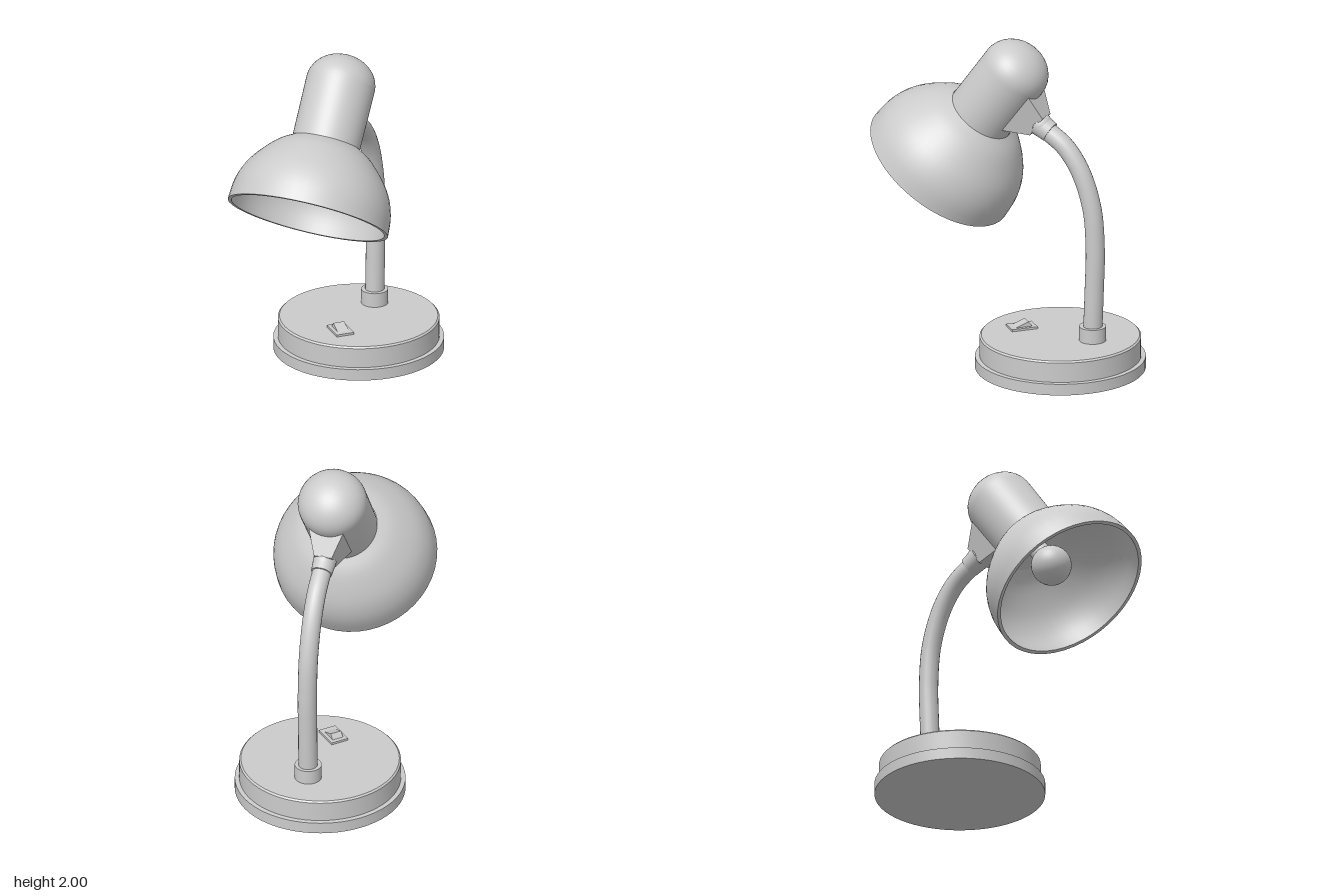
import * as THREE from 'three';
import { toCreasedNormals } from 'three/addons/utils/BufferGeometryUtils.js';

const material = new THREE.MeshStandardMaterial({ color: 0xcccccc });
const v2 = (x, y) => new THREE.Vector2(x, y);

function part(name, geometry, parent, x = 0, y = 0, z = 0) {
  const mesh = new THREE.Mesh(geometry, material);
  mesh.name = name;
  mesh.position.set(x, y, z);
  parent.add(mesh);
  return mesh;
}

// Revolved profile with crisp edges
function turned(points, segments) {
  return toCreasedNormals(new THREE.LatheGeometry(points, segments), 0.5);
}

export function createModel() {
  const lamp = new THREE.Group();
  lamp.name = 'deskLamp';

  // Stepped round base
  part('base', turned([
    v2(0, 0), v2(0.505, 0), v2(0.505, 0.07), v2(0.478, 0.072),
    v2(0.478, 0.193), v2(0.468, 0.203), v2(0, 0.203),
  ], 64), lamp, 0, 0, -0.335);

  // Rocker switch, set diagonally on the base
  const lampSwitch = new THREE.Group();
  lampSwitch.name = 'switch';
  lampSwitch.position.set(-0.007, 0.2, -0.08);
  lampSwitch.rotation.y = Math.PI / 4;
  lamp.add(lampSwitch);
  part('switchPlate', new THREE.BoxGeometry(0.11, 0.016, 0.16), lampSwitch, 0, 0.008, 0);
  const wedge = new THREE.Shape([v2(-0.055, 0), v2(0.055, 0), v2(0.03, 0.032)]);
  const rocker = part('switchRocker',
    new THREE.ExtrudeGeometry(wedge, { depth: 0.07, bevelEnabled: false }),
    lampSwitch, -0.035, 0.014, 0);
  rocker.rotation.y = Math.PI / 2;

  // Curved arm with its lower collar
  part('armCollar', new THREE.CylinderGeometry(0.08, 0.08, 0.095, 32), lamp, 0.01, 0.2435, -0.55);
  const path = new THREE.CatmullRomCurve3([
    [0.24, -0.55], [0.5, -0.56], [0.78, -0.567], [1.03, -0.545],
    [1.25, -0.47], [1.39, -0.37], [1.475, -0.25],
  ].map(([y, z]) => new THREE.Vector3(0.01, y, z)));
  part('arm', new THREE.TubeGeometry(path, 40, 0.057, 20), lamp);

  // Joint between arm and head
  part('jointBall', new THREE.SphereGeometry(0.068, 24, 16), lamp, 0.01, 1.505, -0.215);
  const sleeve = part('jointSleeve', new THREE.CylinderGeometry(0.07, 0.063, 0.09, 24),
    lamp, 0.01, 1.488, -0.235);
  sleeve.rotation.x = 1.04;

  // Tilted head: its local y runs from the shade rim to the housing top
  const head = new THREE.Group();
  head.name = 'head';
  head.position.set(0.01, 1.143, 0.448);
  head.rotation.x = -0.632;
  lamp.add(head);

  // Shade and housing as one thick shell: inside, rim, outside, cap
  const dome = new THREE.SplineCurve([
    v2(0.487, 0), v2(0.473, 0.134), v2(0.418, 0.262), v2(0.302, 0.398), v2(0.206, 0.463),
  ]).getPoints(16);
  const inside = dome.map((p) => v2(p.x * 0.955, p.y * 0.965)).reverse();
  const cap = [];
  for (let i = 0; i <= 10; i++) {
    const a = (i / 10) * Math.PI / 2;
    cap.push(v2(0.207 * Math.cos(a), 0.83 + 0.176 * Math.sin(a)));
  }
  part('shade', turned([v2(0, 0.447), ...inside, ...dome], 48), head);
  part('housing', turned([v2(0.204, 0.455), ...cap], 48), head);

  // Bulb and socket
  part('bulb', new THREE.SphereGeometry(0.12, 32, 20), head, 0, 0.222, 0);
  part('bulbSocket', new THREE.CylinderGeometry(0.06, 0.06, 0.16, 24), head, 0, 0.375, 0);

  // Tapered bracket on the back of the housing
  const taper = new THREE.BoxGeometry(0.22, 0.3, 0.15);
  const pos = taper.attributes.position;
  for (let i = 0; i < pos.count; i++) {
    if (pos.getZ(i) < 0) pos.setXY(i, pos.getX(i) * 0.5, pos.getY(i) * 0.47);
  }
  taper.computeVertexNormals();
  part('bracket', taper, head, 0, 0.678, -0.24);

  return lamp;
}
